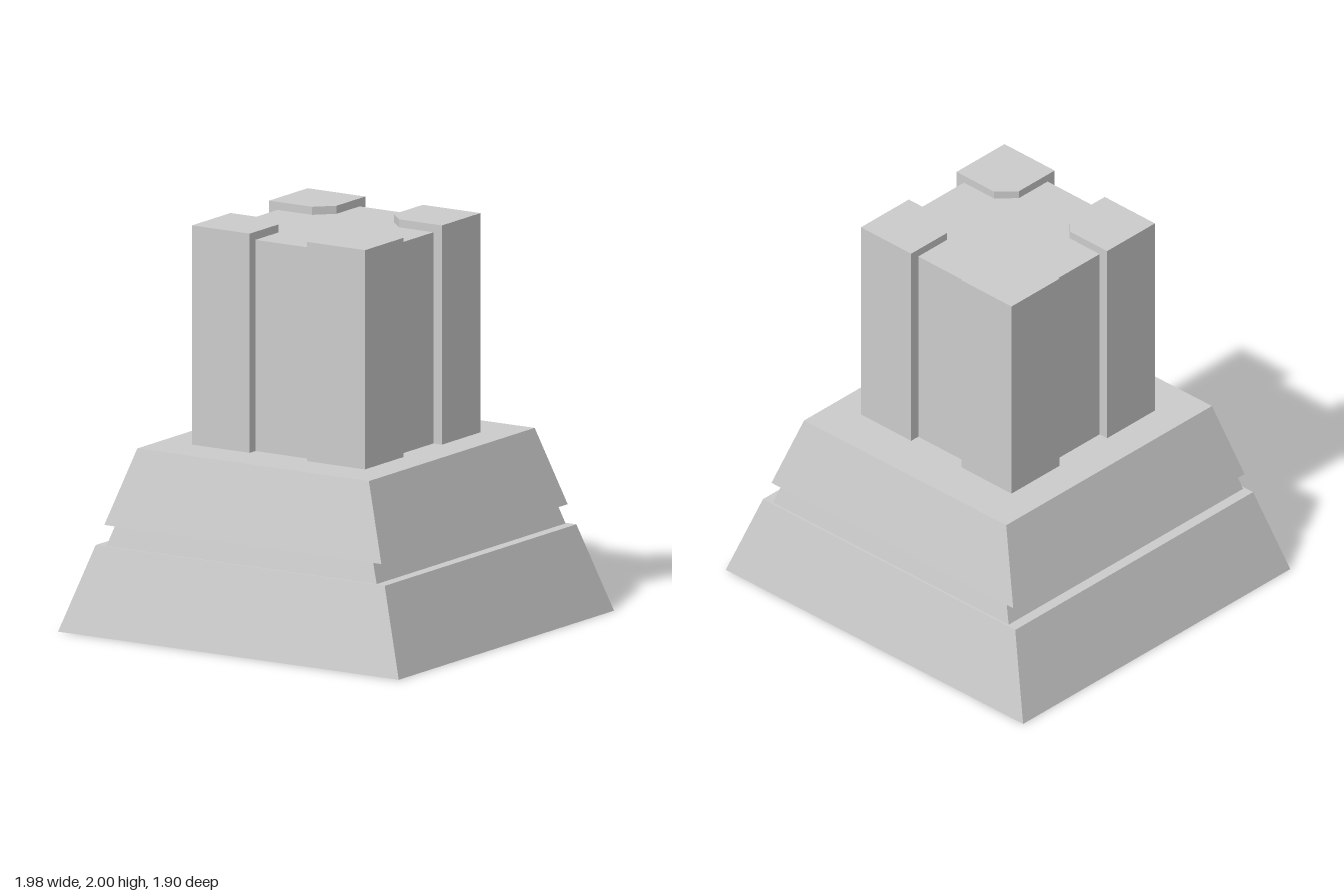
import * as THREE from 'three';

const material = new THREE.MeshStandardMaterial({ color: 0xcccccc, flatShading: true });
const SKEW = -0.0078; // front and back edges drift slightly in z along x
const CENTRE = 0.005; // the tower sits a hair off centre

// Tapered block: half sizes [x, z] at the bottom and the top, slightly skewed
function taperedBlock(name, y0, y1, bottom, top) {
  const geometry = new THREE.BoxGeometry(2, 2, 2);
  const p = geometry.attributes.position;
  for (let i = 0; i < p.count; i++) {
    const upper = p.getY(i) > 0;
    const [hx, hz] = upper ? top : bottom;
    const x = p.getX(i) * hx;
    p.setXYZ(i, x, upper ? y1 : y0, p.getZ(i) * hz + SKEW * x);
  }
  geometry.computeVertexNormals();
  const mesh = new THREE.Mesh(geometry, material);
  mesh.name = name;
  return mesh;
}

// Square pillar whose inner corner is chamfered; sx and sz choose the quadrant
function cornerPillar(name, sx, sz) {
  const inner = 0.168, outer = 0.505, cut = 0.253;
  const outline = [[inner, outer], [inner, cut], [cut, inner], [outer, inner], [outer, outer]];
  const shape = new THREE.Shape(outline.map(([x, z]) => new THREE.Vector2(sx * x, -sz * z)));
  const geometry = new THREE.ExtrudeGeometry(shape, { depth: 2 - 0.91, bevelEnabled: false });
  geometry.rotateX(-Math.PI / 2);
  geometry.translate(CENTRE, 0.91, CENTRE);
  const mesh = new THREE.Mesh(geometry, material);
  mesh.name = name;
  return mesh;
}

export function createModel() {
  const model = new THREE.Group();
  model.name = 'pedestalTower';

  // Stepped base with a recessed band
  model.add(
    taperedBlock('lowerBase', 0, 0.43, [0.99, 0.94], [0.84, 0.837]),
    taperedBlock('recessedBand', 0.43, 0.53, [0.785, 0.825], [0.75, 0.803]),
    taperedBlock('upperBase', 0.53, 0.91, [0.805, 0.814], [0.673, 0.724])
  );

  // Tower core, a little lower than the pillars
  const core = new THREE.Mesh(new THREE.BoxGeometry(0.91, 1.05, 0.91), material);
  core.name = 'towerCore';
  core.position.set(CENTRE, 0.91 + 1.05 / 2, CENTRE);
  model.add(core);

  // Four corner pillars
  for (const sx of [1, -1]) {
    for (const sz of [1, -1]) {
      const name = (sz > 0 ? 'front' : 'back') + (sx > 0 ? 'Left' : 'Right') + 'Pillar';
      model.add(cornerPillar(name, sx, sz));
    }
  }
  return model;
}
